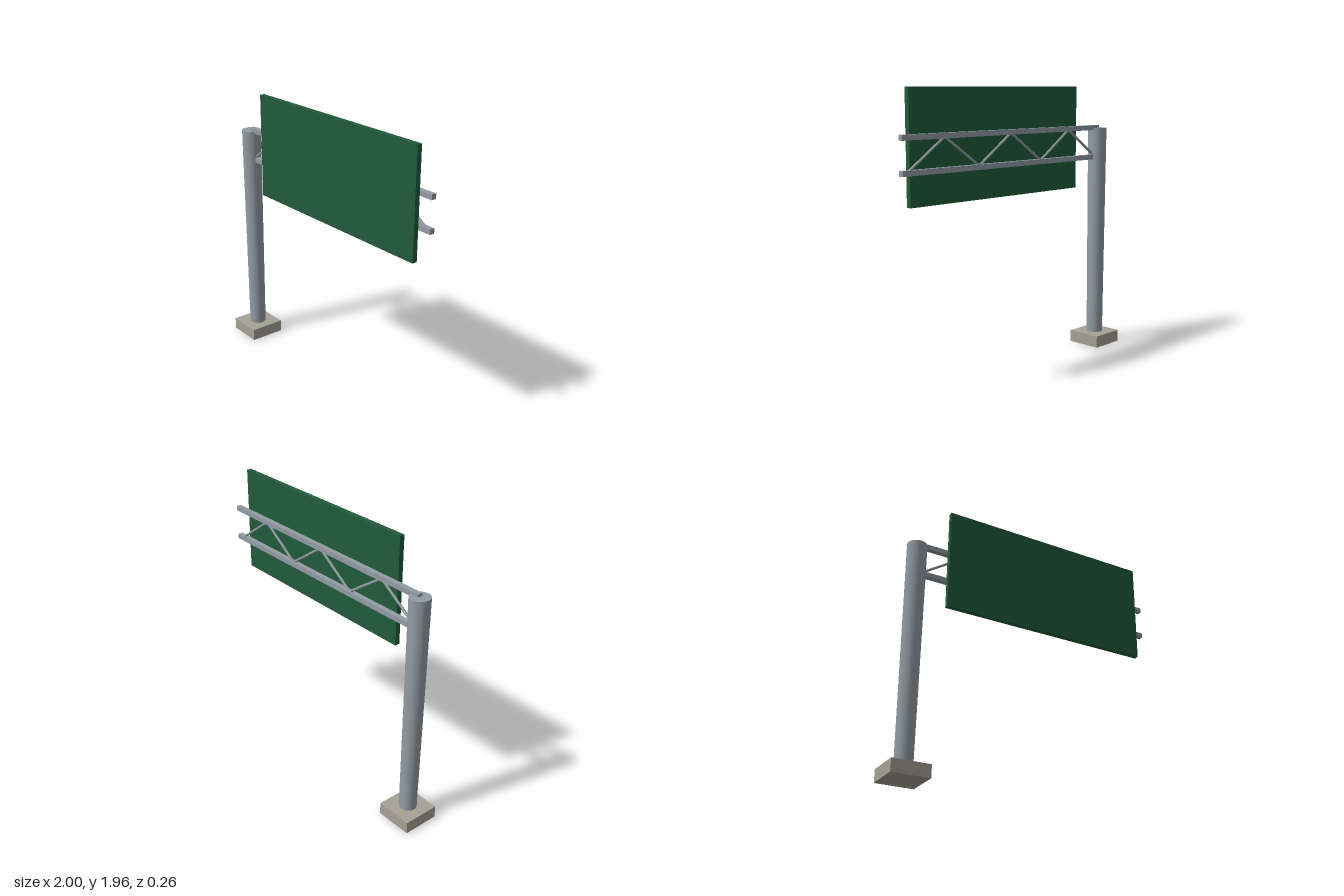
import * as THREE from 'three';

export function createModel() {
  const model = new THREE.Group();
  model.name = 'cantileverRoadSign';

  const material = (name, color) => {
    const m = new THREE.MeshStandardMaterial({ color });
    m.name = name;
    return m;
  };
  const concrete = material('concrete', 0xa7a195);
  const steel = material('steel', 0x929da4);
  const green = material('signGreen', 0x215c3b);

  const add = (name, geometry, mat, x, y, z) => {
    const mesh = new THREE.Mesh(geometry, mat);
    mesh.name = name;
    mesh.position.set(x, y, z);
    model.add(mesh);
    return mesh;
  };

  // Footing and post, slightly wider at the top
  const postX = -0.87;
  add('footing', new THREE.BoxGeometry(0.26, 0.087, 0.26), concrete, postX, 0.0435, 0);
  add('post', new THREE.CylinderGeometry(0.069, 0.06, 1.57, 32), steel, postX, 0.87, 0);

  // Horizontal truss chords
  for (const [name, y] of [['upperChord', 1.657], ['lowerChord', 1.44]]) {
    add(name, new THREE.BoxGeometry(1.87, 0.035, 0.035), steel, 0.065, y, 0);
  }

  // Zigzag bracing between the chords
  const bays = 6, startX = -0.835, endX = 0.945;
  const node = (i) => new THREE.Vector3(
    startX + (endX - startX) * i / bays, i % 2 ? 1.65 : 1.448, 0);
  const up = new THREE.Vector3(0, 1, 0);
  for (let i = 0; i < bays; i++) {
    const a = node(i), b = node(i + 1);
    const dir = b.clone().sub(a);
    const mid = a.clone().add(b).multiplyScalar(0.5);
    const brace = add('brace' + (i + 1),
      new THREE.CylinderGeometry(0.009, 0.009, dir.length(), 8), steel, mid.x, mid.y, mid.z);
    brace.quaternion.setFromUnitVectors(up, dir.normalize());
  }

  // Sign panel in front of the truss
  add('signPanel', new THREE.BoxGeometry(1.565, 0.74, 0.035), green, 0.128, 1.59, 0.044);

  return model;
}
